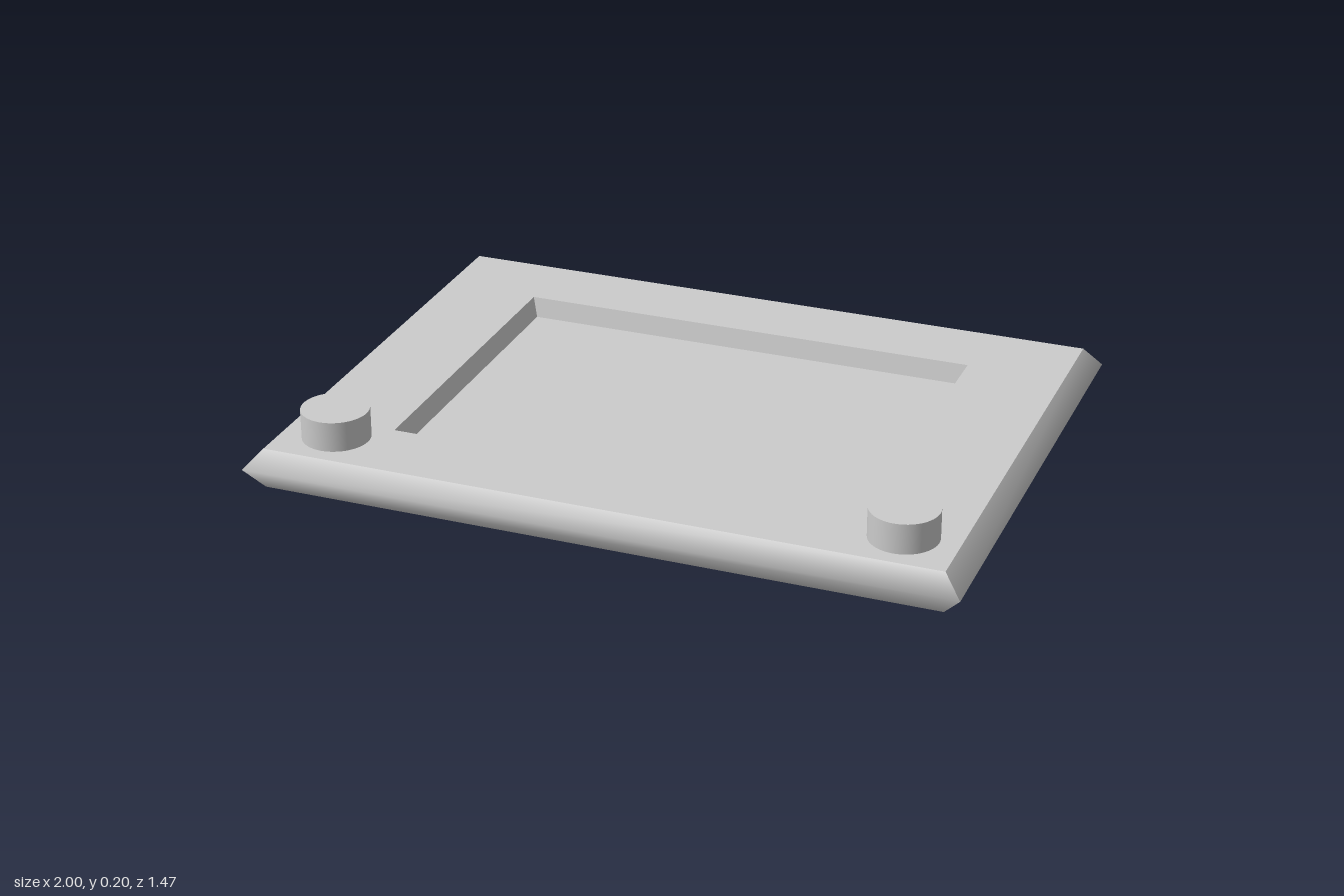
import * as THREE from 'three';

const TOP = 0.115, MID = 0.058;

// Joins rectangular rings [halfX, y, halfZ]; each side is smooth, corners stay sharp
function ringWalls(rings) {
  const corners = [[-1, 1], [1, 1], [1, -1], [-1, -1]];
  const positions = [], index = [];
  for (let side = 0; side < 4; side++) {
    const base = positions.length / 3;
    rings.forEach(([hx, y, hz], r) => {
      for (const [sx, sz] of [corners[side], corners[(side + 1) % 4]]) {
        positions.push(sx * hx, y, sz * hz);
      }
      if (r > 0) {
        const a = base + 2 * (r - 1);
        index.push(a, a + 1, a + 3, a, a + 3, a + 2);
      }
    });
  }
  const geometry = new THREE.BufferGeometry();
  geometry.setAttribute('position', new THREE.Float32BufferAttribute(positions, 3));
  geometry.setIndex(index);
  geometry.computeVertexNormals();
  return geometry;
}

function rectanglePoints(hx, hz) {
  return [[-hx, -hz], [hx, -hz], [hx, hz], [-hx, hz]].map(([x, y]) => new THREE.Vector2(x, y));
}

export function createModel() {
  const group = new THREE.Group();
  const material = new THREE.MeshStandardMaterial({ color: 0xcccccc });
  const add = (name, geometry, x = 0, y = 0, z = 0) => {
    const mesh = new THREE.Mesh(geometry, material);
    mesh.name = name;
    mesh.position.set(x, y, z);
    group.add(mesh);
  };

  // Flat rim around the screen opening
  const rim = new THREE.Shape(rectanglePoints(0.95, 0.7));
  rim.holes.push(new THREE.Path(rectanglePoints(0.67, 0.475)));
  add('topRim', new THREE.ShapeGeometry(rim).rotateX(-Math.PI / 2), 0, TOP, 0);

  // Pointed outer edge and sloping walls of the recess
  add('outerEdge', ringWalls([[0.95, 0, 0.7], [1, MID, 0.735], [0.95, TOP, 0.7]]));
  add('recessWalls', ringWalls([[0.67, TOP, 0.475], [0.655, MID, 0.462]]));

  // Recessed screen and underside
  add('screen', new THREE.PlaneGeometry(1.31, 0.924).rotateX(-Math.PI / 2), 0, MID, 0);
  add('underside', new THREE.PlaneGeometry(1.9, 1.4).rotateX(Math.PI / 2));

  // Two knobs at the front corners
  for (const side of [1, -1]) {
    add(side > 0 ? 'leftKnob' : 'rightKnob',
      new THREE.CylinderGeometry(0.094, 0.094, 0.085, 48), side * 0.8, TOP + 0.0425, 0.563);
  }
  return group;
}
